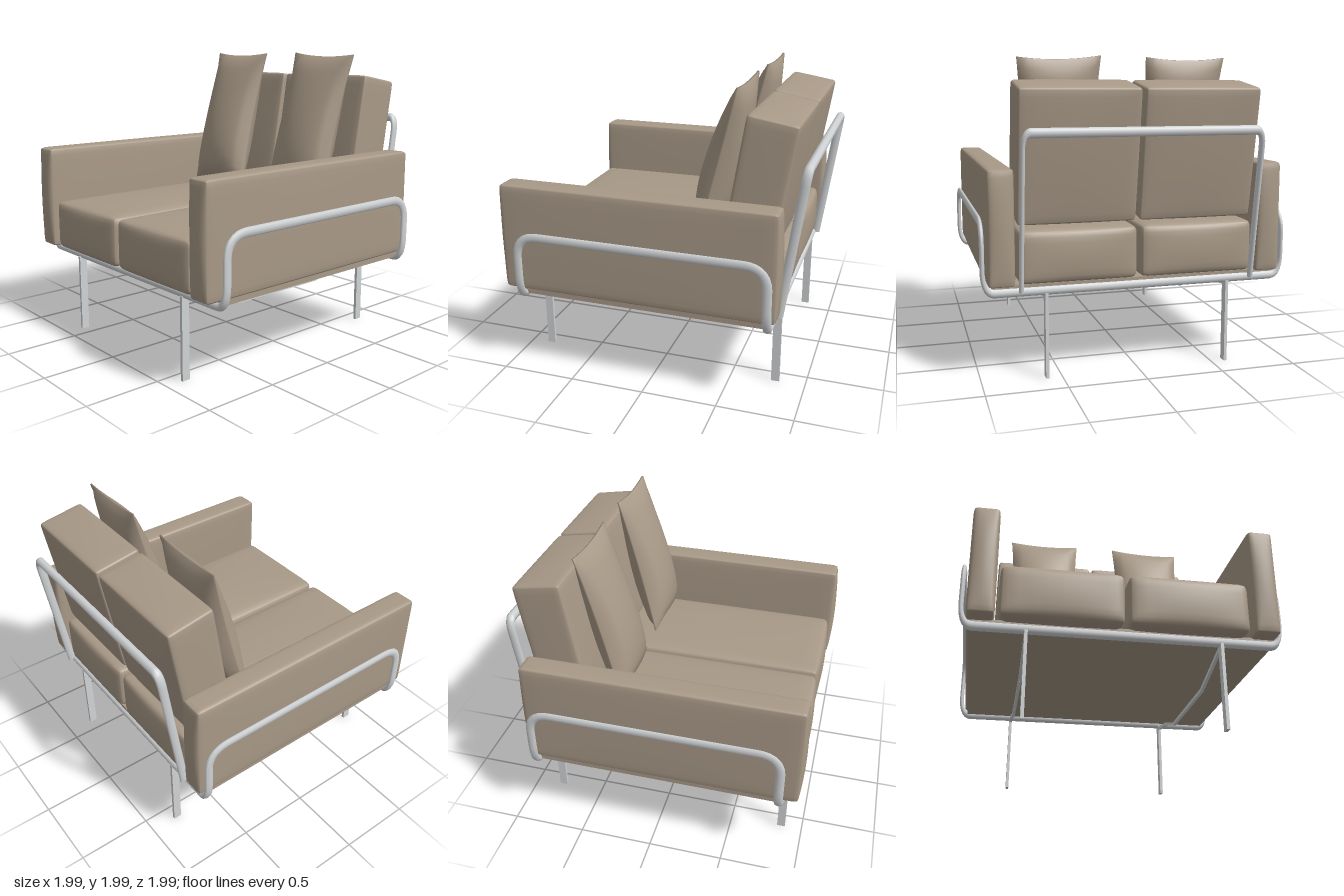
import * as THREE from 'three';
import { mergeVertices } from 'three/addons/utils/BufferGeometryUtils.js';

const fabric = new THREE.MeshStandardMaterial({ color: 0xa89987 });
fabric.name = 'taupe fabric';
const metal = new THREE.MeshStandardMaterial({ color: 0xd0d3d5 });
metal.name = 'brushed metal';

function add(parent, name, geometry, material, x = 0, y = 0, z = 0) {
  const mesh = new THREE.Mesh(geometry, material);
  mesh.name = name;
  mesh.position.set(x, y, z);
  parent.add(mesh);
  return mesh;
}

// Reshapes a subdivided 2-unit box by a rule and gives it smooth normals
function shapedBox(nx, ny, nz, rule) {
  const box = new THREE.BoxGeometry(2, 2, 2, nx, ny, nz);
  const pos = box.attributes.position;
  const p = new THREE.Vector3();
  for (let i = 0; i < pos.count; i++) {
    p.fromBufferAttribute(pos, i);
    rule(p);
    pos.setXYZ(i, p.x, p.y, p.z);
  }
  box.deleteAttribute('uv');
  box.deleteAttribute('normal');
  const geometry = mergeVertices(box, 1e-4);
  geometry.computeVertexNormals();
  return geometry;
}

// Upholstered block: rounded edges and gently crowned faces
function cushion(w, h, d, r, crown) {
  const half = new THREE.Vector3(w / 2, h / 2, d / 2);
  const inner = half.clone().subScalar(r);
  return shapedBox(12, 12, 12, (p) => {
    p.set(...p.toArray().map((t) => Math.sin((t * Math.PI) / 2))); // crowd points to edges
    const t = p.clone();
    p.multiply(half);
    const core = p.clone().clamp(inner.clone().negate(), inner);
    p.sub(core).setLength(r).add(core);
    const k = t.clone().multiply(t).negate().addScalar(1);
    p.x += t.x * crown[0] * k.y * k.z;
    p.y += t.y * crown[1] * k.x * k.z;
    p.z += t.z * crown[2] * k.x * k.y;
  });
}

// Loose pillow: pinched corners, fuller toward the bottom
function pillow(w, h, depth) {
  return shapedBox(14, 16, 1, (p) => {
    const { x: u, y: v, z: side } = p;
    const puff = Math.pow((1 - u * u) * (1 - v * v), 0.5) * (1 - 0.3 * v);
    p.x = (w / 2) * u * (1 - 0.09 * (1 - v * v));
    p.y = (h / 2) * v * (1 - 0.04 * (1 - u * u));
    p.z = side * (0.006 + depth * puff);
  });
}

// Bar bent along a polyline with rounded corners; flattened across x
function bentBar(points, corner, closed, radius, segments) {
  const pts = points.map(([x, y, z]) => new THREE.Vector3(x * 2, y, z));
  const path = new THREE.CurvePath();
  const n = pts.length;
  let last = closed ? pts[n - 1].clone().lerp(pts[0], 0.5) : pts[0];
  const start = last;
  for (let i = closed ? 0 : 1; i < (closed ? n : n - 1); i++) {
    const c = pts[i];
    const toward = (q) => c.clone().add(q.clone().sub(c).setLength(corner));
    const a = toward(pts[(i + n - 1) % n]);
    const b = toward(pts[(i + 1) % n]);
    path.add(new THREE.LineCurve3(last, a));
    path.add(new THREE.QuadraticBezierCurve3(a, c, b));
    last = b;
  }
  path.add(new THREE.LineCurve3(last, closed ? start : pts[n - 1]));
  return new THREE.TubeGeometry(path, segments, radius, 8, closed).scale(0.5, 1, 1);
}

export function createModel() {
  const model = new THREE.Group();
  model.name = 'sofa';

  // Underside panel carrying the upholstery
  add(model, 'basePanel', new THREE.BoxGeometry(1.86, 0.045, 1.67), fabric, 0, 0.58, 0.025);

  const armGeo = cushion(0.165, 0.715, 1.82, 0.025, [0.006, 0.004, 0.02]);
  const seatGeo = cushion(0.755, 0.34, 1.78, 0.045, [0.003, 0.025, 0.02]);
  const backGeo = cushion(0.755, 0.84, 0.325, 0.025, [0.003, 0.01, 0.012]);
  const pillowGeo = pillow(0.54, 1.02, 0.12);

  for (const s of [1, -1]) {
    const side = s > 0 ? 'left' : 'right';
    add(model, side + 'Arm', armGeo, fabric, s * 0.868, 0.952, 0.062);
    add(model, side + 'SeatCushion', seatGeo, fabric, s * 0.388, 0.765, 0.065);
    add(model, side + 'BackCushion', backGeo, fabric, s * 0.388, 1.395, -0.685).rotation.x = -0.165;
    const loose = add(model, side + 'Pillow', pillowGeo, fabric, s > 0 ? 0.43 : -0.4, 1.485, -0.4);
    loose.rotation.set(-0.25, 0, s > 0 ? -0.025 : 0);

    // Flat legs joined by a bent stretcher
    add(model, side + 'FrontLeg', new THREE.BoxGeometry(0.02, 0.545, 0.055), metal, s * 0.595, 0.2725, 0.855);
    add(model, side + 'BackLeg', new THREE.BoxGeometry(0.02, 0.545, 0.055), metal, s * 0.595, 0.2725, -0.8);
    const line = [[0.85, 0.53], [0.41, 0.41], [-0.31, 0.41], [-0.55, 0.485], [-0.8, 0.525]];
    for (let i = 0; i < line.length - 1; i++) {
      const [z0, y0] = line[i];
      const [z1, y1] = line[i + 1];
      const length = Math.hypot(z1 - z0, y1 - y0) + 0.006;
      const bar = add(model, side + 'Stretcher', new THREE.BoxGeometry(0.02, 0.023, length), metal,
        s * 0.595, (y0 + y1) / 2, (z0 + z1) / 2);
      bar.rotation.x = Math.atan2(y1 - y0, z0 - z1);
    }
  }

  // Continuous frame: front and rear rails rising into a hoop around each arm
  const x = 0.982, low = 0.557, high = 0.985, front = 0.85, rear = -0.8;
  add(model, 'armFrame', bentBar([
    [x, low, front], [x, high, front], [x, high, rear], [x, low, rear],
    [-x, low, rear], [-x, high, rear], [-x, high, front], [-x, low, front],
  ], 0.15, true, 0.03, 400), metal);

  // Leaning hoop behind the back cushions
  add(model, 'backFrame', bentBar([
    [0.752, 0.56, -0.83], [0.752, 1.525, -0.968], [-0.752, 1.525, -0.968], [-0.752, 0.56, -0.83],
  ], 0.1, false, 0.03, 200), metal);

  return model;
}
